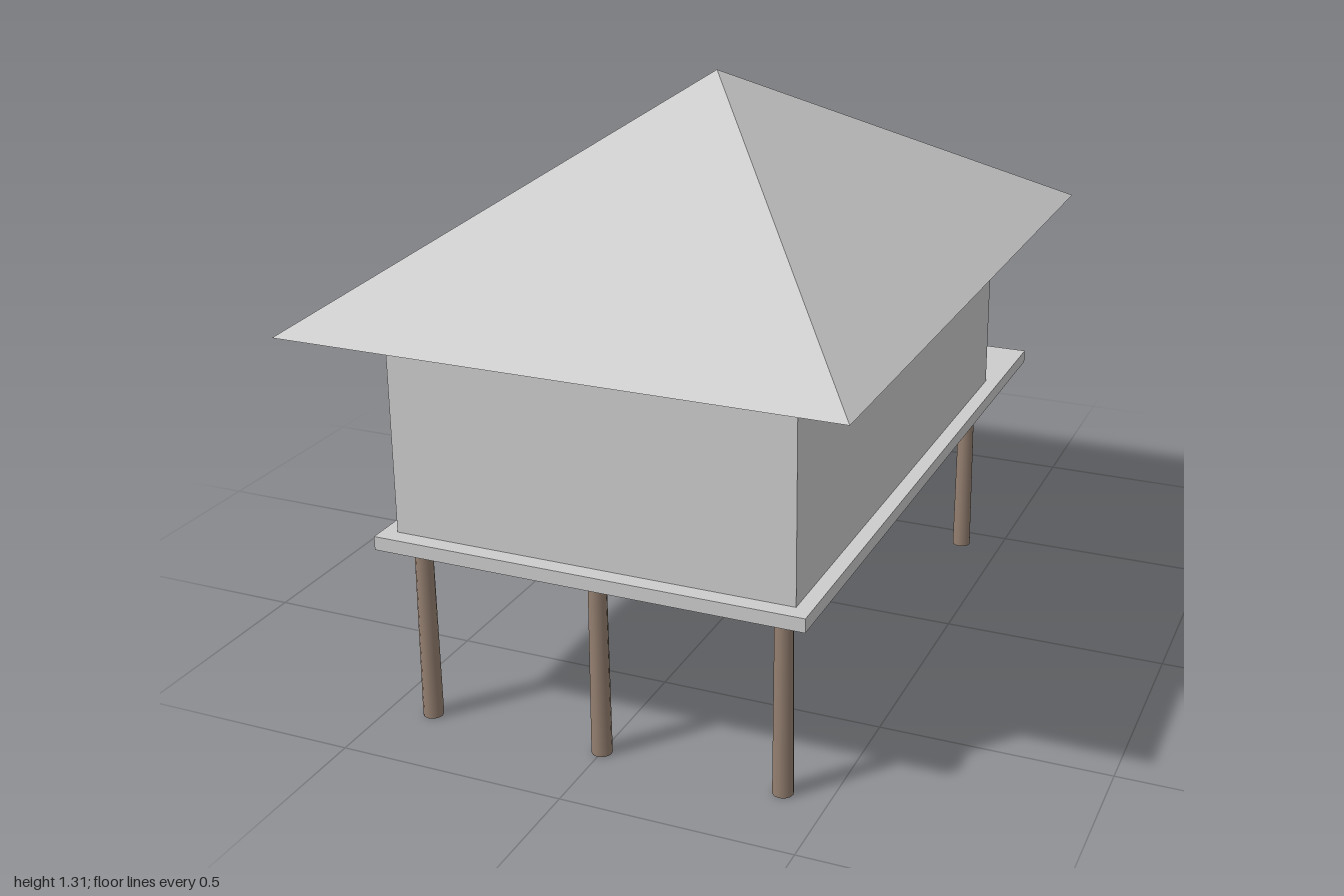
import * as THREE from 'three';

const mat = (name, color, extra = {}) => {
  const m = new THREE.MeshStandardMaterial({ color, ...extra });
  m.name = name;
  return m;
};

// Box given by its min and max corners
function box(name, material, [x0, y0, z0], [x1, y1, z1]) {
  const mesh = new THREE.Mesh(new THREE.BoxGeometry(x1 - x0, y1 - y0, z1 - z0), material);
  mesh.position.set((x0 + x1) / 2, (y0 + y1) / 2, (z0 + z1) / 2);
  mesh.name = name;
  return mesh;
}

// Open four-sided hip roof: four eave corners rising to one apex
function hipRoof(material) {
  const apex = [0, 1.31, 0.19];
  const eaves = [[0.595, 1], [0.595, -0.625], [-0.595, -0.625], [-0.595, 1]].map(([x, z]) => [x, 0.89, z]);
  const points = eaves.flatMap((corner, i) => [...corner, ...eaves[(i + 1) % 4], ...apex]);
  const geometry = new THREE.BufferGeometry();
  geometry.setAttribute('position', new THREE.Float32BufferAttribute(points, 3));
  geometry.computeVertexNormals();
  const mesh = new THREE.Mesh(geometry, material);
  mesh.name = 'roof';
  return mesh;
}

export function createModel() {
  const plaster = mat('light grey', 0xcccccc);
  const roofGrey = mat('roof grey', 0xcccccc, { side: THREE.DoubleSide });
  const wood = mat('post wood', 0x947f70);
  const doorWood = mat('door wood', 0x957d66);

  const house = new THREE.Group();
  house.name = 'stiltHouse';

  // House body
  house.add(
    box('floor', plaster, [-0.473, 0.406, -0.718], [0.473, 0.436, 0.882]),
    box('walls', plaster, [-0.44, 0.436, -0.466], [0.44, 0.89, 0.845]),
    hipRoof(roofGrey),
    box('door', doorWood, [-0.1, 0.436, -0.477], [0.1, 0.806, -0.466]),
  );

  // Stilts: two rows of three
  const postGeometry = new THREE.CylinderGeometry(0.019, 0.022, 0.406, 12);
  for (const z of [0.81, -0.435]) {
    for (const x of [-0.402, 0, 0.402]) {
      const post = new THREE.Mesh(postGeometry, wood);
      post.position.set(x, 0.203, z);
      post.name = 'post';
      house.add(post);
    }
  }

  // Floating treads down from the back deck
  for (let i = 0; i < 6; i++) {
    const y = 0.361 - i * 0.0488;
    const z = -0.742 - i * 0.043;
    house.add(box('stepTread', wood, [-0.089, y - 0.005, z - 0.043], [0.089, y + 0.005, z]));
  }
  return house;
}
